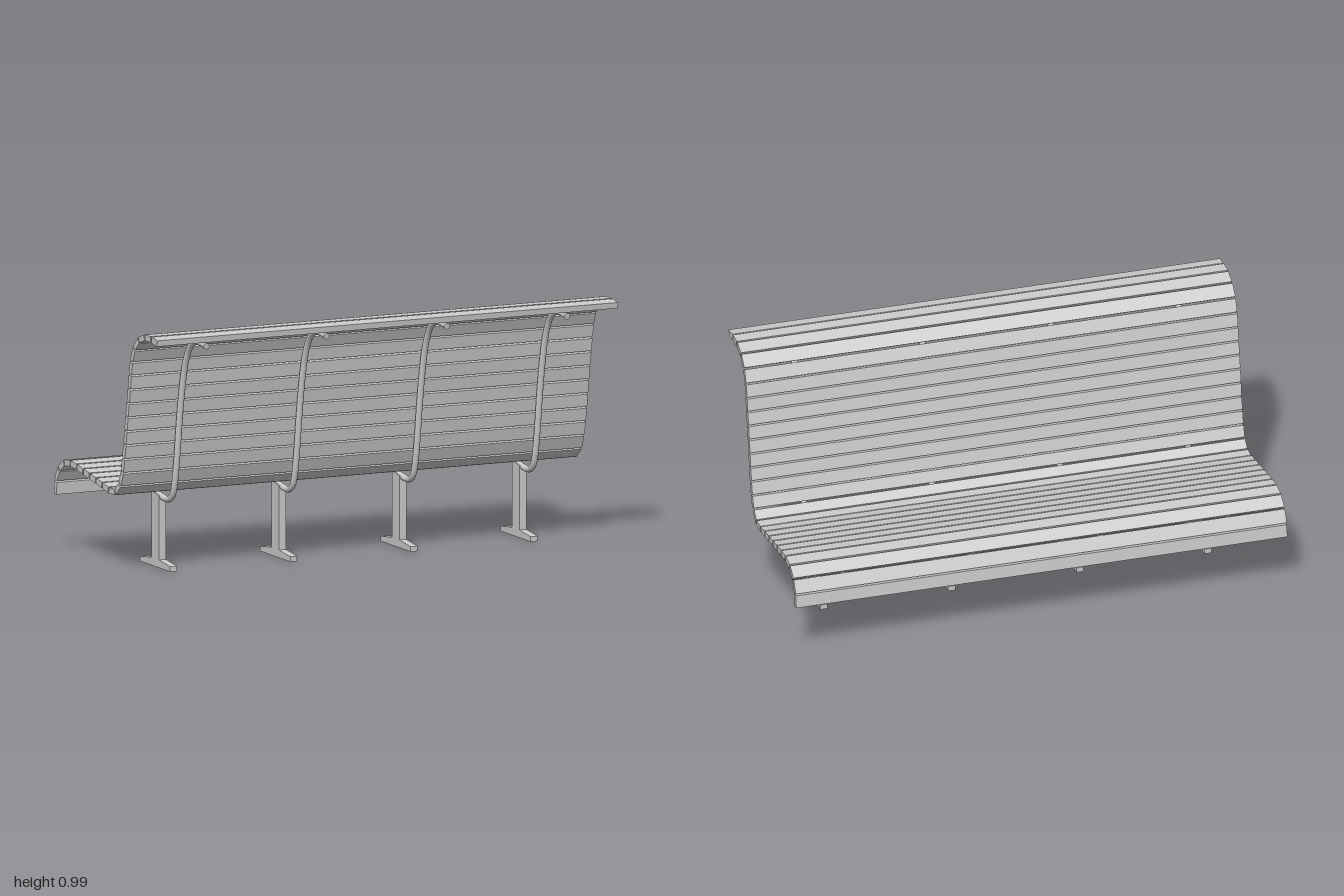
import * as THREE from 'three';

const material = new THREE.MeshStandardMaterial({ color: 0xcccccc });
const LENGTH = 2, SLATS = 26, GAP = 0.007, THICK = 0.024;

// Side profiles as [z, y]: from the top of the backrest down to the seat lip
const railPath = [
  [0.456, 0.938], [0.415, 0.944], [0.375, 0.944], [0.338, 0.934], [0.305, 0.909],
  [0.278, 0.868], [0.257, 0.815], [0.238, 0.74], [0.222, 0.66], [0.208, 0.575],
  [0.196, 0.49], [0.184, 0.415], [0.17, 0.347], [0.155, 0.306], [0.132, 0.284],
  [0.1, 0.277], [0.06, 0.281], [0, 0.291], [-0.1, 0.306], [-0.2, 0.32],
  [-0.298, 0.331], [-0.345, 0.323], [-0.385, 0.298], [-0.41, 0.263], [-0.42, 0.228],
];
const slatPath = [
  [0.462, 0.966], [0.435, 0.97], [0.375, 0.975], [0.318, 0.964], [0.274, 0.936],
  [0.245, 0.891], [0.228, 0.837], [0.217, 0.77], [0.207, 0.715], [0.196, 0.658],
  [0.186, 0.601], [0.177, 0.545], [0.167, 0.489], [0.155, 0.431], [0.137, 0.372],
  [0.105, 0.329], [0.058, 0.315], [-0.002, 0.324], [-0.12, 0.343], [-0.233, 0.361],
  [-0.29, 0.369], [-0.346, 0.37], [-0.397, 0.35], [-0.434, 0.311], [-0.447, 0.27], [-0.45, 0.228],
];

const toCurve = (points) =>
  new THREE.CatmullRomCurve3(points.map(([z, y]) => new THREE.Vector3(0, y, z)));

// Extrude a [z, y] outline along x, centred on x = 0
function extrudeAcross(outline, width) {
  const shape = new THREE.Shape(outline.map(([z, y]) => new THREE.Vector2(-z, y)));
  const geometry = new THREE.ExtrudeGeometry(shape, { depth: width, bevelEnabled: false });
  geometry.translate(0, 0, -width / 2);
  return geometry.rotateY(Math.PI / 2);
}

function addMesh(parent, name, geometry) {
  const mesh = new THREE.Mesh(geometry, material);
  mesh.name = name;
  parent.add(mesh);
  return mesh;
}

// Slats with mitred ends that follow the bends of the profile
function createSlats() {
  const group = new THREE.Group();
  group.name = 'slats';
  const curve = toCurve(slatPath);
  curve.arcLengthDivisions = 800;
  const total = curve.getLength();
  const pitch = (total + GAP) / SLATS;
  const corner = (distance, side) => {
    const u = Math.min(distance / total, 1);
    const p = curve.getPointAt(u), t = curve.getTangentAt(u);
    return [p.z + t.y * side * THICK / 2, p.y - t.z * side * THICK / 2];
  };
  for (let i = 0; i < SLATS; i++) {
    const a = i * pitch, b = a + pitch - GAP;
    addMesh(group, 'slat', extrudeAcross([corner(a, 1), corner(b, 1), corner(b, -1), corner(a, -1)], LENGTH));
  }
  return group;
}

// One support: bent tube rail, post with a sloped top, and tapered foot
function createSupport() {
  const group = new THREE.Group();
  group.name = 'support';
  const curve = toCurve(railPath);
  const radius = 0.0125;
  addMesh(group, 'rail', new THREE.TubeGeometry(curve, 90, radius, 16));
  for (const u of [0, 1]) {
    const cap = addMesh(group, 'railEndCap', new THREE.CircleGeometry(radius, 16));
    const p = curve.getPointAt(u);
    const outward = curve.getTangentAt(u).multiplyScalar(u ? 1 : -1);
    cap.position.copy(p);
    cap.quaternion.setFromUnitVectors(new THREE.Vector3(0, 0, 1), outward);
  }
  addMesh(group, 'post', extrudeAcross([[0.061, 0.03], [0.061, 0.285], [-0.006, 0.297], [-0.006, 0.03]], 0.03));
  addMesh(group, 'foot', extrudeAcross(
    [[0.161, 0], [0.161, 0.02], [0.061, 0.031], [-0.006, 0.031], [-0.108, 0.02], [-0.108, 0]], 0.03));
  return group;
}

export function createModel() {
  const bench = new THREE.Group();
  bench.name = 'bench';
  bench.add(createSlats());
  for (const x of [-0.782, -0.261, 0.261, 0.782]) {
    const support = createSupport();
    support.position.x = x;
    bench.add(support);
  }
  return bench;
}
